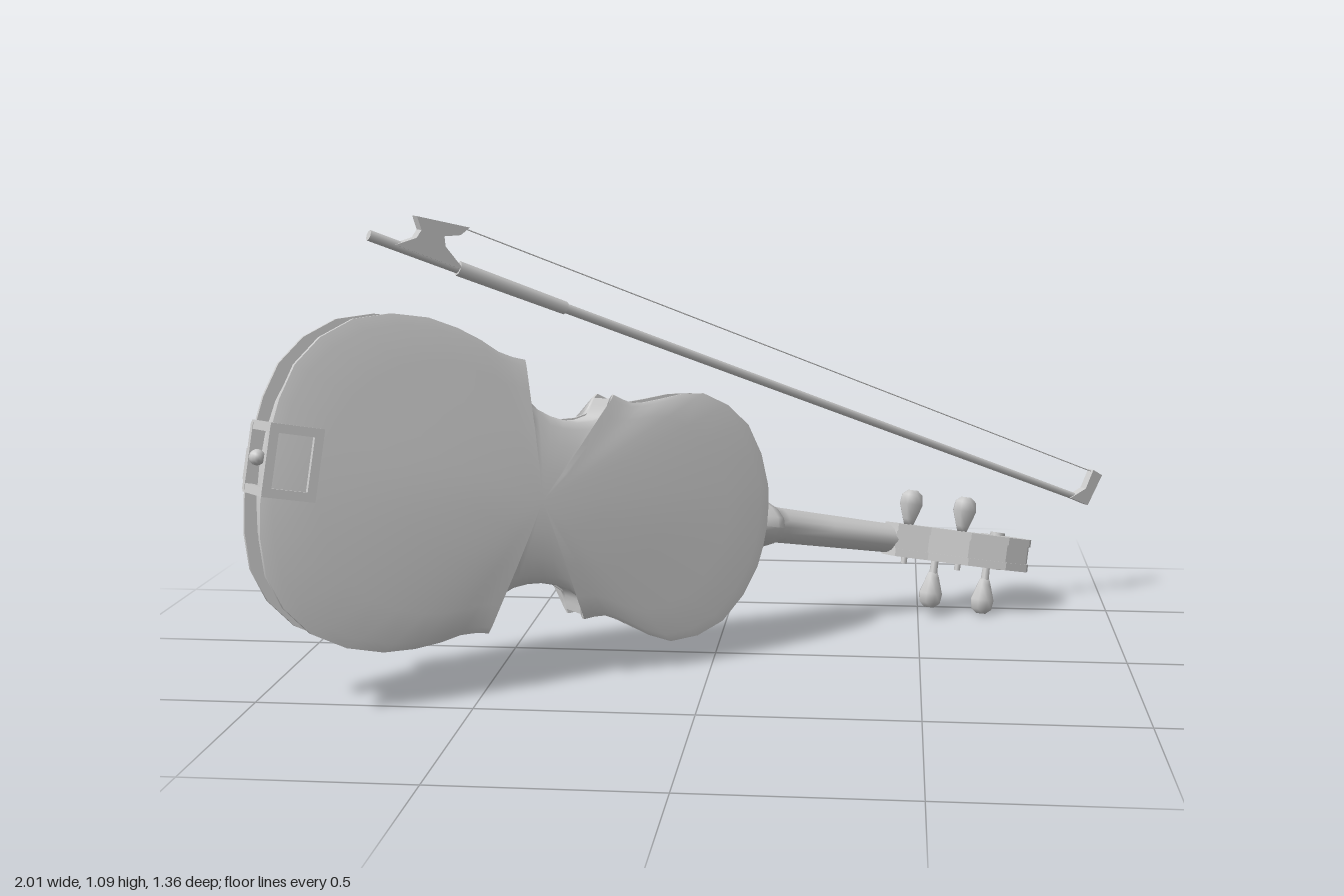
import * as THREE from 'three';
import { toCreasedNormals } from 'three/addons/utils/BufferGeometryUtils.js';

const mat = new THREE.MeshStandardMaterial({ color: 0xcccccc, side: THREE.DoubleSide });

function add(parent, name, geo, x = 0, y = 0, z = 0) {
  const m = new THREE.Mesh(geo, mat);
  m.name = name;
  m.position.set(x, y, z);
  parent.add(m);
  return m;
}

// Skin between closed rings of [x, y, z] points
function loft(rings, crease = 0.7) {
  const n = rings[0].length, idx = [];
  for (let i = 0; i < rings.length - 1; i++) {
    for (let j = 0; j < n; j++) {
      const k = (j + 1) % n, a = i * n, b = a + n;
      idx.push(a + j, b + j, b + k, a + j, b + k, a + k);
    }
  }
  const g = new THREE.BufferGeometry();
  g.setAttribute('position', new THREE.Float32BufferAttribute(rings.flat(2), 3));
  g.setIndex(idx);
  return toCreasedNormals(g, crease);
}

function extrude(points, depth) {
  const shape = new THREE.Shape(points.map(p => new THREE.Vector2(...p)));
  return new THREE.ExtrudeGeometry(shape, { depth, bevelEnabled: false });
}

// Profile in the length/depth plane, thickness across the instrument
function sideExtrude(points, width) {
  return extrude(points, width).rotateX(Math.PI / 2).translate(0, width / 2, 0);
}

// Full outline of the body: upper bout, waist and lower bout, mirrored
function bodyOutline() {
  const bouts = [
    [[0.152, 0], [0.14, 0.1], [0.06, 0.24], [-0.08, 0.3], [-0.2, 0.27], [-0.27, 0.252], [-0.325, 0.265]],
    [[-0.325, 0.265], [-0.345, 0.215], [-0.45, 0.19], [-0.545, 0.225], [-0.565, 0.315]],
    [[-0.565, 0.315], [-0.62, 0.32], [-0.7, 0.352], [-0.82, 0.376], [-0.97, 0.352], [-1.08, 0.26], [-1.125, 0.13], [-1.133, 0]],
  ];
  const half = bouts.flatMap((b, i) => {
    const c = new THREE.CatmullRomCurve3(b.map(([u, v]) => new THREE.Vector3(u, v, 0)));
    const pts = c.getPoints(12).map(p => [p.x, p.y]);
    return i ? pts.slice(1) : pts;
  });
  return half.concat(half.slice(1, -1).reverse().map(([u, v]) => [u, -v]));
}

function createBody(violin) {
  const outline = bodyOutline();
  // Rings soften to an ellipse inwards; the body is deeper at the tail and slopes at the neck end
  const ring = (k, w) => outline.map(([u, v]) => {
    const du = u + 0.49, oval = 1 / Math.hypot(du / 0.55, v / 0.23);
    const f = k * THREE.MathUtils.lerp(oval, 1, k * k);
    const x = du * f;
    return [-0.49 + x - 0.5 * w * Math.max(0, x), v * f, w > 0 ? w * (1 - 0.35 * x) : w];
  });
  const layers = list => loft(list.map(([k, w]) => ring(k, w)));
  add(violin, 'backPlate', layers([[0, 0.1], [0.3, 0.098], [0.6, 0.09], [0.85, 0.077], [0.97, 0.07], [1, 0.065], [1, 0.053], [0.97, 0.053]]));
  add(violin, 'ribs', layers([[0.97, 0.055], [0.97, -0.055]]));
  add(violin, 'topPlate', layers([[0.97, -0.053], [1, -0.053], [1, -0.065], [0.97, -0.07], [0.85, -0.075], [0.6, -0.088], [0.3, -0.096], [0, -0.098]]));

  // Sound holes as slim S curves on the top
  for (const s of [-1, 1]) {
    const pts = [[-0.39, 0.075, -0.092], [-0.41, 0.055, -0.094], [-0.44, 0.075, -0.093], [-0.5, 0.105, -0.09], [-0.56, 0.135, -0.087], [-0.59, 0.155, -0.084], [-0.61, 0.135, -0.087]];
    const c = new THREE.CatmullRomCurve3(pts.map(([u, v, w]) => new THREE.Vector3(u, v * s, w)));
    add(violin, 'soundHole', new THREE.TubeGeometry(c, 30, 0.01, 6));
  }
}

function createNeck(violin) {
  // D-shaped neck swelling into the heel: [length, half width, depth]
  const stations = [[0.1, 0.065, 0.165], [0.17, 0.065, 0.17], [0.195, 0.06, 0.155], [0.21, 0.05, 0.1], [0.26, 0.045, 0.07], [0.4, 0.042, 0.062], [0.61, 0.038, 0.058]];
  const rings = stations.map(([u, h, d]) => Array.from({ length: 16 }, (_, i) => {
    const t = i / 16 * Math.PI * 2;
    return [u, h * Math.sin(t), -0.125 + d * Math.max(0, Math.cos(t))];
  }));
  add(violin, 'neck', loft(rings, 1));
  add(violin, 'fingerboard', extrude([[-0.36, -0.058], [0.6, -0.036], [0.6, 0.036], [-0.36, 0.058]], 0.025), 0, 0, -0.148);
  add(violin, 'nut', new THREE.BoxGeometry(0.02, 0.075, 0.035), 0.6, 0, -0.138);

  // Pegbox sweeping back, with the scroll curled over its end
  const cheek = [[0.59, -0.13], [0.7, -0.095], [0.82, -0.05], [0.9, -0.03], [0.96, -0.05], [0.965, 0.01], [0.93, 0.05], [0.86, 0.055], [0.76, 0.025], [0.67, -0.03], [0.59, -0.065]];
  for (const s of [-1, 1]) add(violin, 'pegboxCheek', sideExtrude(cheek, 0.02), 0, s * 0.033, 0);
  add(violin, 'pegboxFloor', sideExtrude([[0.59, -0.1], [0.7, -0.045], [0.84, 0], [0.96, -0.03], [0.96, 0.01], [0.93, 0.045], [0.86, 0.05], [0.76, 0.02], [0.67, -0.035], [0.59, -0.07]], 0.06));
  add(violin, 'scroll', new THREE.CylinderGeometry(0.073, 0.073, 0.07, 20), 0.93, 0, -0.095);
  add(violin, 'scrollInnerTurn', new THREE.CylinderGeometry(0.045, 0.055, 0.085, 16), 0.93, 0, -0.095);
  add(violin, 'scrollEye', new THREE.CylinderGeometry(0.02, 0.02, 0.1, 12), 0.93, 0, -0.095);

  // Four tuning pegs with faceted heads, two per side
  const head = [[0, 0], [0.014, 0], [0.02, 0.015], [0.035, 0.055], [0.031, 0.08], [0.015, 0.092], [0, 0.092]].map(p => new THREE.Vector2(...p));
  for (const [u, w, s] of [[0.64, -0.095, 1], [0.71, -0.055, -1], [0.77, -0.035, 1], [0.845, -0.01, -1]]) {
    const peg = new THREE.Group();
    peg.name = 'tuningPeg';
    peg.position.set(u, -0.016, w);
    if (s < 0) peg.rotation.x = Math.PI;
    add(peg, 'pegShaft', new THREE.CylinderGeometry(0.011, 0.008, 0.12, 8), 0, 0.015, 0);
    add(peg, 'pegHead', new THREE.LatheGeometry(head, 8), 0, 0.058, 0).scale.z = 0.7;
    violin.add(peg);
  }
}

function createFittings(violin) {
  // Bridge standing across the top, with a curved crown and an arched foot
  const crown = [[-0.065, 0], [-0.03, 0], [-0.02, 0.025], [0.02, 0.025], [0.03, 0], [0.065, 0], [0.05, 0.04], [0.055, 0.075], [0, 0.095], [-0.055, 0.075], [-0.05, 0.04]];
  add(violin, 'bridge', extrude(crown, 0.018).rotateX(-Math.PI / 2).rotateZ(Math.PI / 2), -0.53, 0, -0.088);

  // Tailpiece rising from the end of the body towards the bridge
  const tail = add(violin, 'tailpiece', extrude([[0, -0.02], [0.25, -0.03], [0.34, -0.045], [0.385, -0.045], [0.4, 0], [0.385, 0.045], [0.34, 0.045], [0.25, 0.03], [0, 0.02]], 0.02), -1.1, 0, -0.11);
  tail.rotation.y = 0.17;
  add(violin, 'saddle', new THREE.BoxGeometry(0.035, 0.07, 0.045), -1.11, 0, -0.085);
  add(violin, 'endButton', new THREE.SphereGeometry(0.018, 12, 8), -1.13, 0.02, 0);

  // Clamp wrapped round the tail end
  const clamp = new THREE.Group();
  clamp.name = 'tailClamp';
  clamp.position.set(-1.13, 0.02, 0.03);
  for (const s of [-1, 1]) {
    add(clamp, 'clampPost', new THREE.BoxGeometry(0.018, 0.02, 0.16), 0, s * 0.07, 0);
    add(clamp, 'clampArm', new THREE.BoxGeometry(0.11, 0.02, 0.014), 0.05, s * 0.07, 0.073);
    add(clamp, 'clampBar', new THREE.BoxGeometry(0.02, 0.15, 0.018), 0, 0, s * 0.073);
  }
  add(clamp, 'clampFoot', new THREE.BoxGeometry(0.02, 0.16, 0.014), 0.1, 0, 0.073);
  violin.add(clamp);
}

function createBow() {
  const bow = new THREE.Group();
  bow.name = 'bow';
  const rod = (name, r0, r1, x0, x1) =>
    add(bow, name, new THREE.CylinderGeometry(r1, r0, x1 - x0, 8).rotateZ(-Math.PI / 2), (x0 + x1) / 2, 0, 0);
  rod('stick', 0.012, 0.009, 0, 2.16);
  rod('grip', 0.017, 0.015, 0.22, 0.5);
  add(bow, 'frog', extrude([[0.06, 0], [0.1, 0.03], [0.105, 0.05], [0.085, 0.075], [0.21, 0.093], [0.195, 0.07], [0.16, 0.055], [0.17, 0.035], [0.23, 0]], 0.03), 0, 0, -0.015);
  add(bow, 'bowHead', extrude([[2.1, -0.008], [2.165, -0.01], [2.18, 0.08], [2.145, 0.085], [2.14, 0.03]], 0.022), 0, 0, -0.011);
  add(bow, 'hair', extrude([[0.2, 0.087], [2.16, 0.079], [2.16, 0.081], [0.2, 0.089]], 0.008), 0, 0, -0.004);
  bow.position.set(-0.71, 1.05, 0.49);
  bow.rotation.set(0, 0.6, -0.372, 'YXZ');
  return bow;
}

export function createModel() {
  const model = new THREE.Group();
  model.name = 'violinAndBow';
  // The violin lies along its own x axis with its back towards +z, then is tilted
  const violin = new THREE.Group();
  violin.name = 'violin';
  createBody(violin);
  createNeck(violin);
  createFittings(violin);
  violin.position.set(-0.014, 0.328, -0.018);
  violin.rotation.set(-0.1, 0.576, -0.2, 'YXZ');
  model.add(violin, createBow());
  return model;
}
